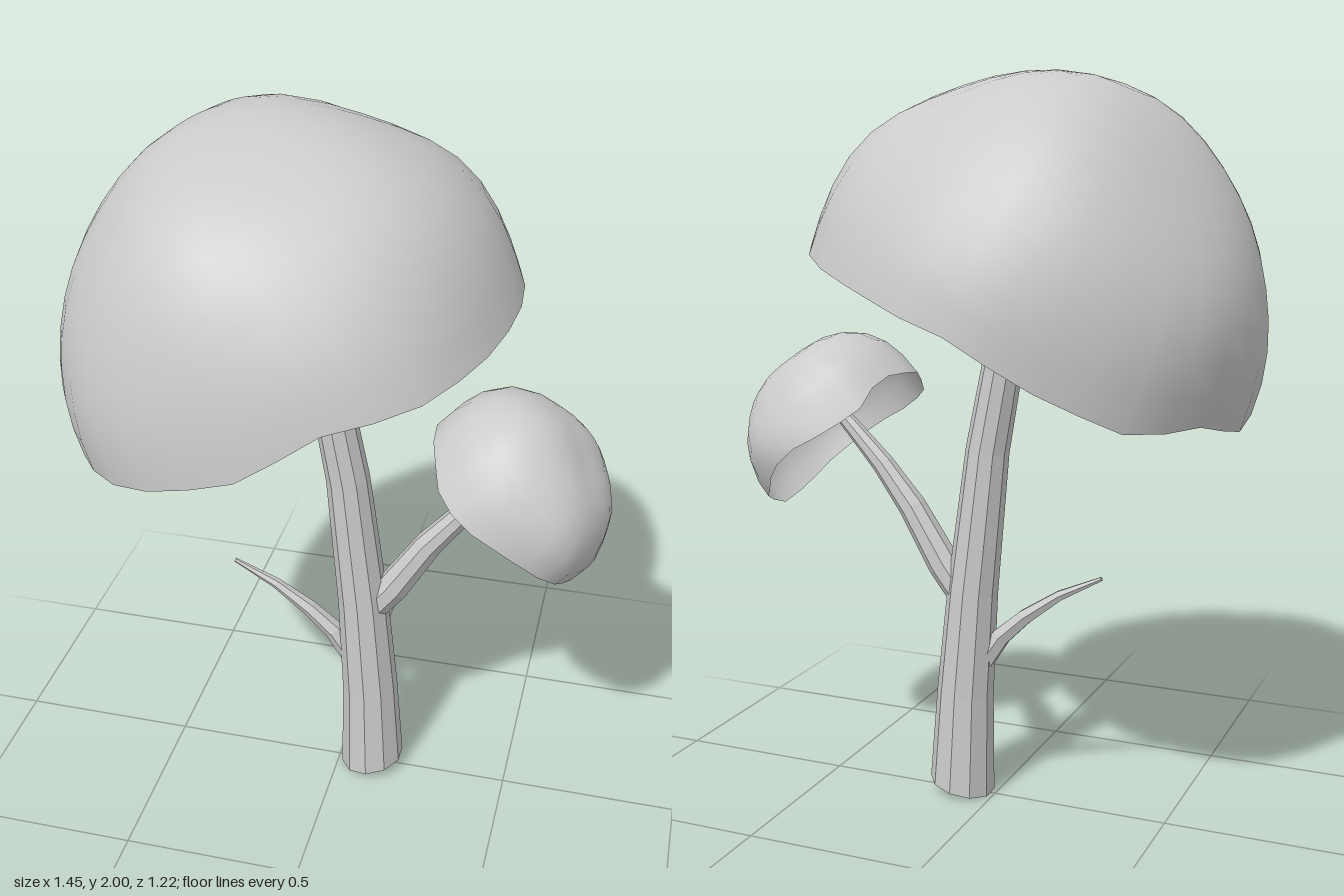
import * as THREE from 'three';
import { mergeVertices } from 'three/addons/utils/BufferGeometryUtils.js';

const bark = new THREE.MeshStandardMaterial({ color: 0xcccccc, flatShading: true, side: THREE.DoubleSide });
const leaf = new THREE.MeshStandardMaterial({ color: 0xcccccc, side: THREE.DoubleSide });

// Open tapered tube through stations [x, y, radius, tilt of the ring about z]
function limb(name, stations, sides) {
  const pos = [], idx = [];
  for (const [x, y, r, tilt] of stations) {
    for (let j = 0; j < sides; j++) {
      const t = ((j + 0.5) / sides) * Math.PI * 2;
      const u = Math.cos(t) * r;
      pos.push(x + u * Math.cos(tilt), y + u * Math.sin(tilt), Math.sin(t) * r);
    }
  }
  for (let i = 0; i < stations.length - 1; i++) {
    for (let j = 0; j < sides; j++) {
      const a = i * sides + j, b = i * sides + ((j + 1) % sides);
      idx.push(a, a + sides, b, b, a + sides, b + sides);
    }
  }
  const geo = new THREE.BufferGeometry();
  geo.setAttribute('position', new THREE.Float32BufferAttribute(pos, 3));
  geo.setIndex(idx);
  geo.computeVertexNormals();
  const mesh = new THREE.Mesh(geo, bark);
  mesh.name = name;
  return mesh;
}

// Hollow half-dome with soft bumps [x, y, z, height, width] and an uneven rim
function canopy(name, { radius, rim, bumps, wobble, center, tilt, segments, rings }) {
  let geo = new THREE.SphereGeometry(1, segments, rings, 0, Math.PI * 2, 0, Math.PI / 2);
  geo.deleteAttribute('uv');
  geo.deleteAttribute('normal');
  geo = mergeVertices(geo, 1e-4);
  const p = geo.attributes.position, d = new THREE.Vector3();
  const dirs = bumps.map(([x, y, z]) => new THREE.Vector3(x, y, z).normalize());
  for (let i = 0; i < p.count; i++) {
    d.fromBufferAttribute(p, i);
    let r = radius + wobble * Math.sin(5 * d.x + 1) * Math.sin(5 * d.z + 0.6) * Math.cos(3 * d.y);
    bumps.forEach(([, , , h, w], k) => {
      r += h * Math.exp(-d.distanceToSquared(dirs[k]) / (w * w));
    });
    // rim height is interpolated around the edge and fades towards the crown
    const turn = (Math.atan2(d.z, d.x) / (Math.PI * 2) + 1) % 1 * rim.length;
    const k = Math.floor(turn) % rim.length;
    const edge = THREE.MathUtils.lerp(rim[k], rim[(k + 1) % rim.length], turn - Math.floor(turn));
    const fade = Math.pow(1 - d.y, 3);
    p.setXYZ(i, d.x * r, d.y * r + edge * fade, d.z * r);
  }
  geo.computeVertexNormals();
  const mesh = new THREE.Mesh(geo, leaf);
  mesh.name = name;
  mesh.position.set(...center);
  mesh.rotation.z = tilt;
  return mesh;
}

export function createModel() {
  const tree = new THREE.Group();
  tree.name = 'tree';

  // Leaning trunk and its side branches
  tree.add(limb('trunk', [
    [0.1, 0.022, 0.093, 0.22], [0.09, 0.3, 0.08, 0.12], [0.067, 0.6, 0.071, 0.1],
    [0.022, 1.0, 0.06, 0.14], [-0.045, 1.36, 0.053, 0.22], [-0.09, 1.53, 0.045, 0.5],
  ], 10));
  tree.add(limb('branch', [
    [0.1, 0.59, 0.045, -0.6], [0.155, 0.665, 0.046, -0.55], [0.25, 0.82, 0.039, -0.6],
    [0.34, 0.935, 0.031, -0.68], [0.43, 1.03, 0.024, -0.75], [0.48, 1.08, 0.02, -0.75],
  ], 8));
  tree.add(limb('twig', [
    [0.03, 0.4, 0.03, 0.6], [-0.02, 0.475, 0.028, 0.75], [-0.09, 0.54, 0.023, 0.85],
    [-0.19, 0.612, 0.015, 0.98], [-0.31, 0.673, 0.006, 1.15],
  ], 6));

  // Main crown
  tree.add(canopy('crown', {
    radius: 0.605, wobble: 0.016, center: [-0.115, 1.36, 0], tilt: 0.37, segments: 32, rings: 12,
    rim: [-0.02, -0.03, -0.02, 0.015, -0.035, -0.02, 0, 0.005, -0.04, -0.01, -0.05, -0.02, 0.03, 0.02, 0, -0.01],
    bumps: [
      [0.2, 1, 0, 0.035, 0.5], [-0.15, 1, 0, 0.015, 0.3],
      [-0.1, 0.95, 0.7, 0.04, 0.45], [-0.1, 0.95, -0.7, 0.035, 0.45],
      [0.8, 0.55, 0.4, 0.035, 0.35], [0.8, 0.55, -0.4, 0.035, 0.35], [0.93, 0.37, 0, 0.02, 0.3],
      [-0.8, 0.37, -0.45, 0.02, 0.3], [-0.4, 0.85, 0.35, -0.02, 0.25],
    ],
  }));

  // Small crown on the side branch
  tree.add(canopy('smallCrown', {
    radius: 0.265, wobble: 0.008, center: [0.465, 1.01, 0], tilt: -0.8, segments: 24, rings: 8,
    rim: [-0.01, 0, 0.02, 0.02, 0, -0.03, -0.04, -0.02, -0.015, 0.01, -0.03, -0.02, 0.01, 0.02, 0, 0.01],
    bumps: [
      [-0.85, 0.45, 0, 0.03, 0.45], [0.1, 1, 0, -0.018, 0.4], [1, 0.1, 0, 0.028, 0.3],
      [-0.6, 0.6, 0.6, 0.02, 0.4], [-0.6, 0.6, -0.6, 0.02, 0.4],
      [0.4, 0.42, 0.77, 0.018, 0.35], [0.4, 0.42, -0.77, 0.012, 0.35],
    ],
  }));

  return tree;
}
